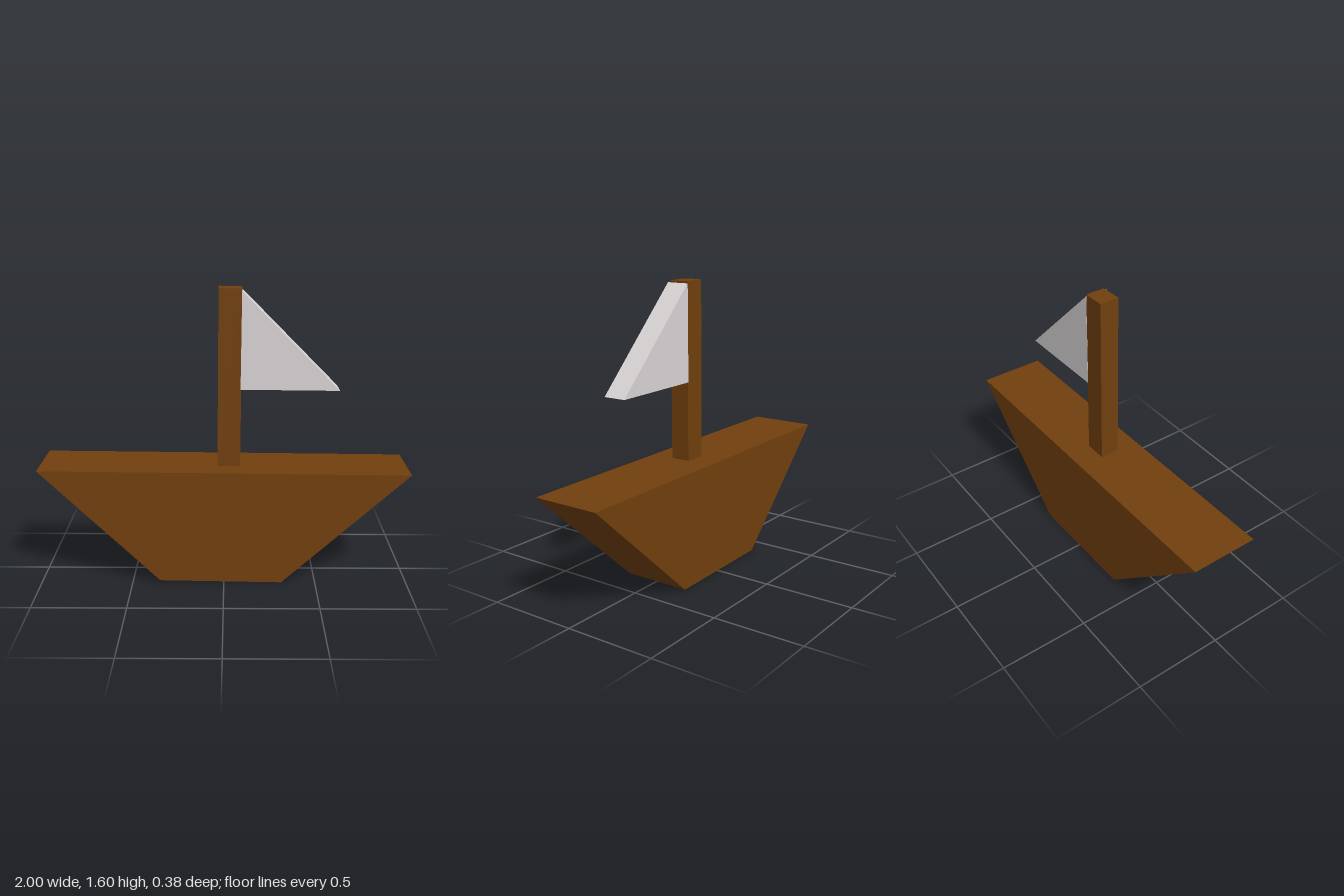
import * as THREE from 'three';

// Flat slab cut from an outline in x/y, spanning zBack to zFront
function slab(name, outline, zBack, zFront, material) {
  const shape = new THREE.Shape(outline.map(([x, y]) => new THREE.Vector2(x, y)));
  const geometry = new THREE.ExtrudeGeometry(shape, { depth: zFront - zBack, bevelEnabled: false });
  geometry.translate(0, 0, zBack);
  const mesh = new THREE.Mesh(geometry, material);
  mesh.name = name;
  return mesh;
}

export function createModel() {
  const wood = new THREE.MeshStandardMaterial({ color: 0x713f0e });
  wood.name = 'brown wood';
  const cloth = new THREE.MeshStandardMaterial({ color: 0xdad5d6 });
  cloth.name = 'pale grey cloth';

  const boat = new THREE.Group();
  boat.name = 'sailboat';

  // Hull: trapezoid with sloping bow and stern
  boat.add(slab('hull', [[-0.35, 0.01], [0.315, 0], [1, 0.622], [-1, 0.64]], -0.188, 0.188, wood));

  // Mast: square post, leaning very slightly
  boat.add(slab('mast', [[-0.036, 0.62], [0.088, 0.62], [0.096, 1.592], [-0.028, 1.595]], -0.046, 0.062, wood));

  // Sail: thick triangular wedge beside the mast
  boat.add(slab('sail', [[0.088, 1.062], [0.615, 1.057], [0.094, 1.583]], -0.047, 0.079, cloth));

  return boat;
}
